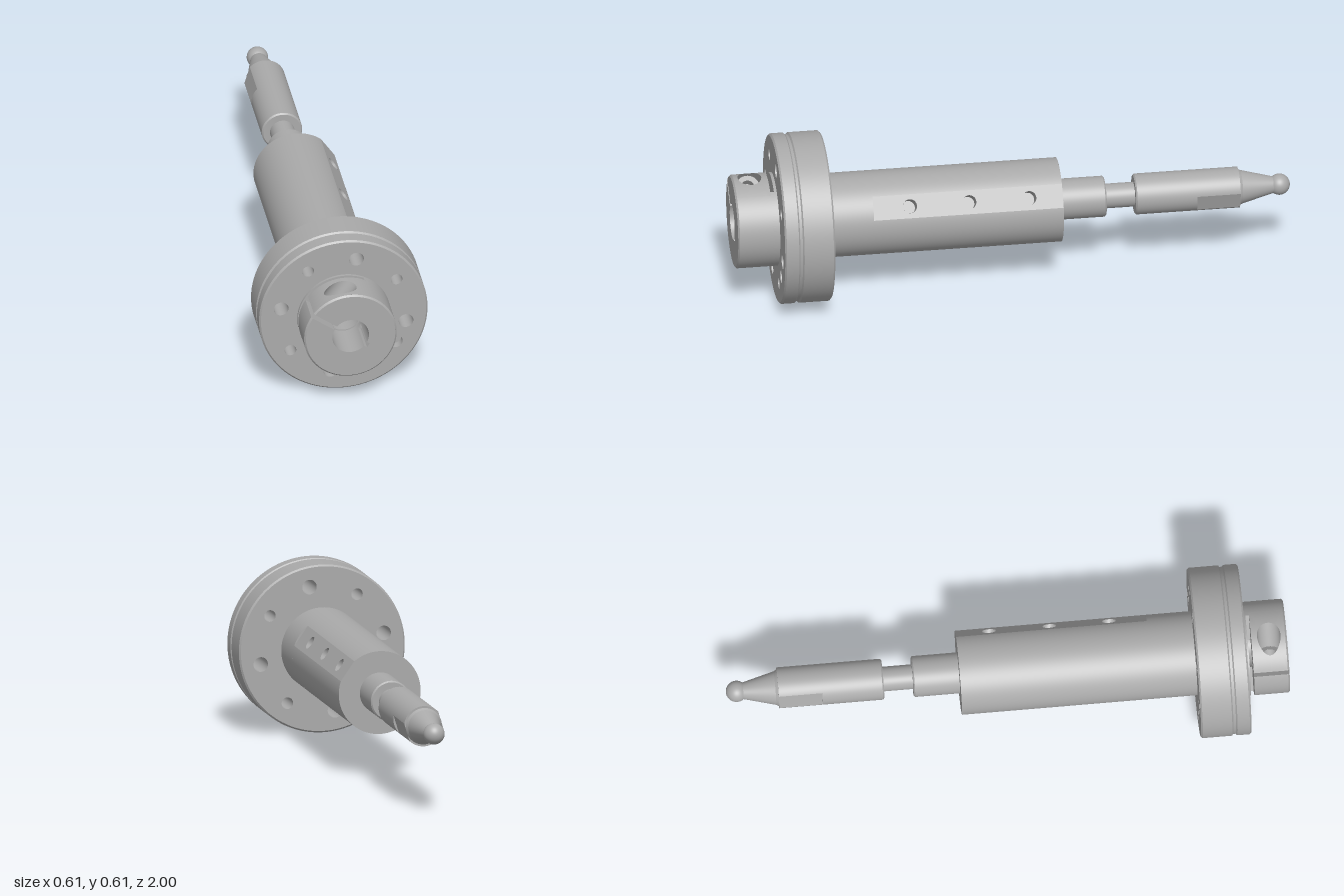
import * as THREE from 'three';
import { mergeGeometries } from 'three/addons/utils/BufferGeometryUtils.js';

const AXIS_Y = 0.304, PI = Math.PI, SEG = 96;
const rad = THREE.MathUtils.degToRad;
const steel = new THREE.MeshStandardMaterial({ color: 0xaaaaaa, side: THREE.DoubleSide });
steel.name = 'machined steel';

function add(parent, name, geometry) {
  const mesh = new THREE.Mesh(geometry, steel);
  mesh.name = name;
  parent.add(mesh);
  return mesh;
}

function subgroup(parent, name, angle = 0) {
  const g = new THREE.Group();
  g.name = name;
  g.rotation.z = angle;
  parent.add(g);
  return g;
}

// Surface turned about z from [radius, z] points; every corner stays sharp unless smooth
function turned(points, smooth = false, start = 0, sweep = 2 * PI) {
  const pts = points.map(p => new THREE.Vector2(p[0], p[1]));
  const runs = smooth ? [pts] : pts.slice(1).map((p, i) => [pts[i], p]);
  const n = Math.max(4, Math.ceil(SEG * sweep / (2 * PI)));
  return mergeGeometries(runs.map(r =>
    new THREE.LatheGeometry(r, n, start + PI / 2, sweep).rotateX(PI / 2)));
}

// Flat face at height z
const face = (shape, z) => new THREE.ShapeGeometry(shape, 48).translate(0, 0, z);

function disc(radius, holes = []) {
  const s = new THREE.Shape().absarc(0, 0, radius, 0, 2 * PI);
  for (const [x, y, r] of holes) s.holes.push(new THREE.Path().absarc(x, y, r, 0, 2 * PI, true));
  return s;
}

// Curved sheet from a function of (u, v) in 0..1
function sheet(fn, nu, nv) {
  const pos = [], idx = [];
  for (let j = 0; j <= nv; j++) for (let i = 0; i <= nu; i++) pos.push(...fn(i / nu, j / nv));
  for (let j = 0; j < nv; j++) for (let i = 0; i < nu; i++) {
    const a = j * (nu + 1) + i, b = a + nu + 1;
    idx.push(a, a + 1, b, a + 1, b + 1, b);
  }
  const g = new THREE.BufferGeometry();
  g.setAttribute('position', new THREE.Float32BufferAttribute(pos, 3));
  g.setIndex(idx);
  g.computeVertexNormals();
  return g;
}

// Round bar with two opposite flats, each drilled with blind cross holes
function flattedBar(parent, name, R, halfWidth, z0, z1, angle, holeZ = [], holeR = 0, floor = 0) {
  const g = subgroup(parent, name, angle);
  const d = Math.sqrt(R * R - halfWidth * halfWidth), a = Math.asin(halfWidth / R);
  const section = new THREE.Shape().absarc(0, 0, R, a, PI - a).absarc(0, 0, R, PI + a, 2 * PI - a);
  add(g, name + 'End', face(section, z0));
  add(g, name + 'Step', face(disc(R), z1));
  for (const side of [0, PI]) {
    const half = subgroup(g, name + 'Side', side);
    add(half, name + 'RoundWall', turned([[R, z0], [R, z1]], false, a, PI - 2 * a));
    // Shape x runs along z, shape y runs across the flat
    const plate = new THREE.Shape([[z0, -halfWidth], [z1, -halfWidth], [z1, halfWidth], [z0, halfWidth]]
      .map(p => new THREE.Vector2(...p)));
    for (const z of holeZ) {
      plate.holes.push(new THREE.Path().absarc(z, 0, holeR, 0, 2 * PI, true));
      const depth = d - floor;
      add(half, 'crossHole', new THREE.CylinderGeometry(holeR, holeR, depth, 32, 1, true)
        .rotateZ(PI / 2).translate(floor + depth / 2, 0, z));
      add(half, 'crossHoleFloor', new THREE.CircleGeometry(holeR, 32).rotateY(PI / 2).translate(floor, 0, z));
    }
    add(half, name + 'Flat', new THREE.ShapeGeometry(plate, 24).rotateY(-PI / 2).translate(d, 0, 0));
  }
}

function buildFlange(root) {
  const g = subgroup(root, 'flange');
  const R = 0.304, c = 0.006, z0 = 0.67, z1 = 0.85, holes = [];
  for (let k = 0; k < 4; k++) for (const [deg, r] of [[78.3, 0.0265], [33.7, 0.021]]) {
    const a = rad(deg + 90 * k);
    holes.push([0.23 * Math.cos(a), 0.23 * Math.sin(a), r]);
  }
  const pin = [0.188, -0.128, 0.025];
  add(g, 'flangeRim', turned([[R - c, z0], [R, z0 + c], [R, 0.781], [R - c, 0.786], [R - c, 0.795],
    [R, 0.8], [R, z1 - c], [R - c, z1]]));
  add(g, 'flangeBack', face(disc(R - c, [[0, 0, 0.14], ...holes]), z0));
  add(g, 'flangeFront', face(disc(R - c, [[0, 0, 0.062], ...holes, pin]), z1));
  for (const [x, y, r] of holes)
    add(g, 'boltHole', turned([[r, z0], [r, z1]]).translate(x, y, 0));
  add(g, 'pinHole', turned([[0, z1 - 0.03], [pin[2], z1 - 0.03], [pin[2], z1]]).translate(pin[0], pin[1], 0));
}

// Split clamping collar; local +x points along the slit
function buildCollar(root) {
  const g = subgroup(root, 'clampCollar', rad(145));
  const R = 0.167, B = 0.066, c = 0.006, z0 = 0.873, z1 = 1, slit = 0.008, key = 0.009, keyR = 0.078;
  const ring = outer => {
    const a = Math.asin(slit / outer), b = Math.asin(slit / B), k = Math.asin(key / B);
    return new THREE.Shape().absarc(0, 0, outer, a, 2 * PI - a)
      .absarc(0, 0, B, 2 * PI - b, PI + k, true)
      .lineTo(-keyR, -key).lineTo(-keyR, key)
      .absarc(0, 0, B, PI - k, b, true);
  };
  add(g, 'collarFront', face(ring(R - c), z1));
  add(g, 'collarBack', face(ring(R), z0));

  // Outer wall, leaving a sector for the screw pocket
  const a = Math.asin(slit / R), secEnd = rad(85);
  add(g, 'collarWall', turned([[R, z0], [R, z1 - c]], false, a, 2 * PI - a - secEnd));
  add(g, 'collarChamfer', turned([[R, z1 - c], [R - c, z1]], false, a, 2 * PI - 2 * a));

  // Pocket drilled square to the slit
  const u0 = 0.11, zc = 0.936, pr = 0.042, floor = -0.05;
  const rim = t => {
    const u = u0 + pr * Math.cos(t), z = zc + pr * Math.sin(t);
    return [u, -Math.sqrt(R * R - u * u), z];
  };
  add(g, 'pocketSurround', sheet((u, v) => {
    const t = u * 2 * PI, p = rim(t);
    const m = Math.max(Math.abs(Math.cos(t)), Math.abs(Math.sin(t)));
    const ex = Math.cos(t) / m, ey = Math.sin(t) / m;
    const angle = THREE.MathUtils.lerp(Math.atan2(p[1], p[0]), -(a + secEnd) / 2 + ex * (secEnd - a) / 2, v);
    const z = THREE.MathUtils.lerp(p[2], (z0 + z1 - c) / 2 + ey * (z1 - c - z0) / 2, v);
    return [R * Math.cos(angle), R * Math.sin(angle), z];
  }, 64, 8));
  add(g, 'pocketWall', sheet((u, v) => {
    const p = rim(u * 2 * PI);
    return [p[0], THREE.MathUtils.lerp(p[1], floor, v), p[2]];
  }, 64, 1));
  add(g, 'pocketFloor', new THREE.RingGeometry(0.023, pr, 48).rotateX(PI / 2).translate(u0, floor, zc));
  add(g, 'screwHole', new THREE.CylinderGeometry(0.023, 0.023, 0.03, 32, 1, true).translate(u0, floor + 0.015, zc));
  add(g, 'screwEnd', new THREE.CircleGeometry(0.023, 32).rotateX(PI / 2).translate(u0, floor + 0.03, zc));

  // Slit cheeks, bore and keyway
  for (const s of [-1, 1])
    add(g, 'slitCheek', new THREE.PlaneGeometry(R - B, z1 - z0).rotateX(PI / 2)
      .translate((R + B) / 2, s * slit, (z0 + z1) / 2));
  const b = Math.asin(slit / B), k = Math.asin(key / B);
  for (const start of [b, PI + k])
    add(g, 'collarBore', turned([[B, z1], [B, z0]], false, start, PI - k - b));
  for (const s of [-1, 1])
    add(g, 'keywaySide', new THREE.PlaneGeometry(keyR - B, z1 - z0).rotateX(PI / 2)
      .translate(-(keyR + B) / 2, s * key, (z0 + z1) / 2));
  add(g, 'keywayFloor', new THREE.PlaneGeometry(z1 - z0, 2 * key).rotateY(PI / 2)
    .translate(-keyR, 0, (z0 + z1) / 2));

  // Saw cut behind the clamping arm, and the foot on the flange
  const cut = 0.03, ca = Math.acos(cut / R), cb = Math.acos(cut / B);
  const web = new THREE.Shape().absarc(0, 0, R, ca, 2 * PI - ca).absarc(0, 0, B, 2 * PI - cb, cb, true);
  const web3d = new THREE.ExtrudeGeometry(web, { depth: 0.013, bevelEnabled: false, curveSegments: 48 });
  add(g, 'collarWeb', web3d.translate(0, 0, 0.86));
  add(g, 'collarFoot', turned([[R, 0.85], [R, 0.86], [B, 0.86]]));
}

function buildSpindle(root) {
  const g = subgroup(root, 'spindle');
  const r = 0.073, neck = 0.044, c = 0.005;
  // Stepped seat inside the bore with a centre drilling
  add(g, 'boreSeat', turned([[0.066, 0.86], [0.066, 0.7], [0.047, 0.7], [0.047, 0.69], [0.02, 0.69], [0, 0.66]]));
  add(g, 'rearShoulder', turned([[neck, -0.335], [r - c, -0.335], [r, -0.33], [r, -0.17]]));
  add(g, 'neck', turned([[neck, -0.44], [neck, -0.335]]));
  add(g, 'probeBarrel', turned([[r, -0.66], [r, -0.44 - c], [r - c, -0.44], [neck, -0.44]]));
  flattedBar(g, 'wrenchSection', r, 0.033, -0.815, -0.66, rad(-17));
  add(g, 'taper', turned([[0.03, -0.9387], [0.06, -0.825], [0.066, -0.815]]));
  const ball = [];
  for (let i = 0; i <= 20; i++) {
    const t = i / 20 * (PI - Math.asin(0.03 / 0.038));
    ball.push([0.038 * Math.sin(t), -0.962 - 0.038 * Math.cos(t)]);
  }
  add(g, 'ballTip', turned(ball, true));
}

export function createModel() {
  const model = new THREE.Group();
  model.name = 'flangedSpindle';
  const root = subgroup(model, 'assembly');
  root.position.y = AXIS_Y;
  buildFlange(root);
  buildCollar(root);
  // Sleeve with two drilled flats, full round next to the flange
  flattedBar(root, 'sleeve', 0.15, 0.043, -0.17, 0.51, rad(35), [-0.05, 0.165, 0.378], 0.025, 0.075);
  add(root, 'sleeveRoot', turned([[0.15, 0.51], [0.15, 0.67]]));
  buildSpindle(root);
  return model;
}
